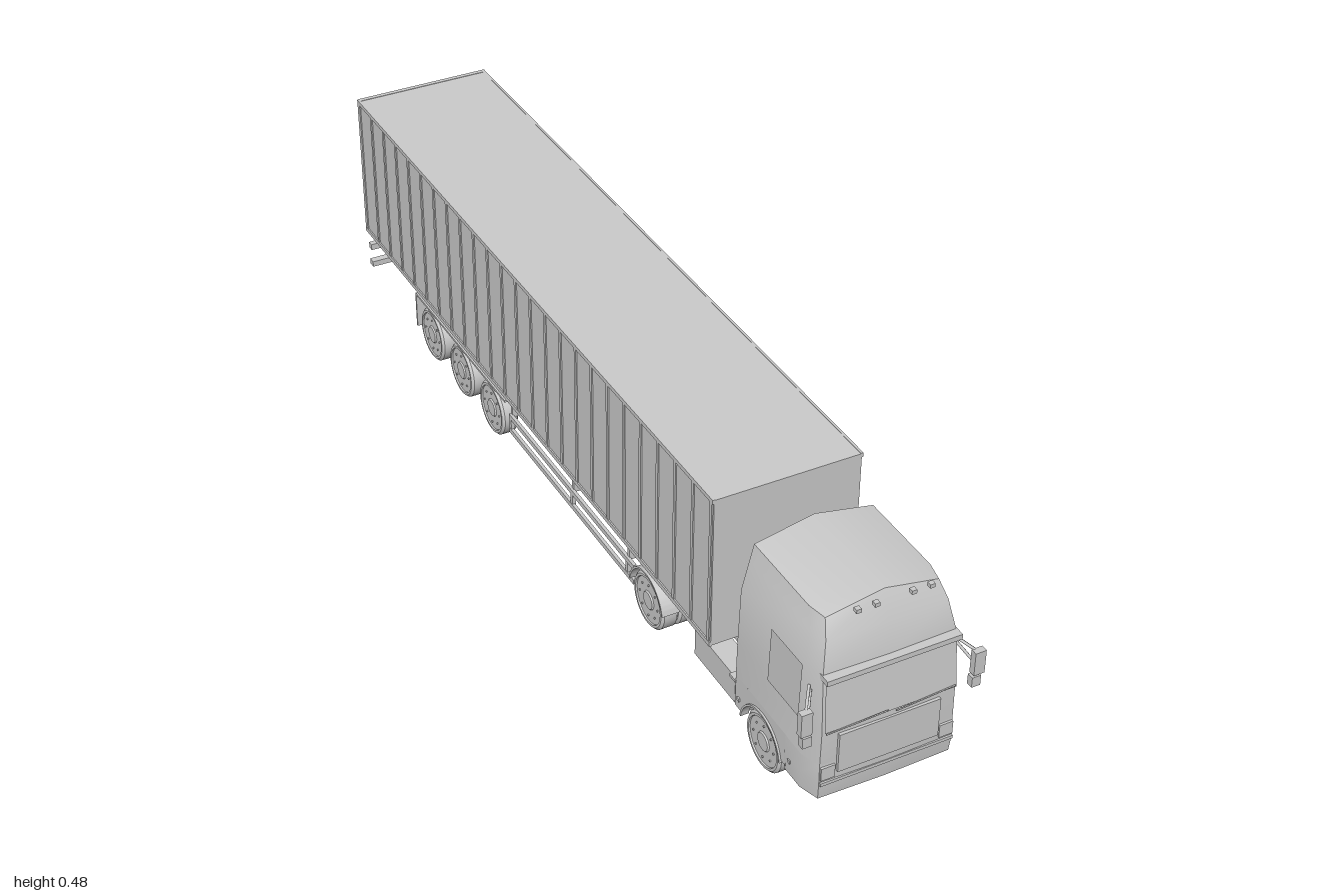
import * as THREE from 'three';
import { toCreasedNormals } from 'three/addons/utils/BufferGeometryUtils.js';

export function createModel() {
  const model = new THREE.Group();
  const grey = new THREE.MeshStandardMaterial({ color: 0xcccccc });
  grey.name = 'lightGrey';
  grey.side = THREE.DoubleSide;

  const add = (name, geo, parent = model) => {
    const m = new THREE.Mesh(geo, grey);
    m.name = name;
    parent.add(m);
    return m;
  };
  // Box given by its minimum and maximum on each axis
  const box = (name, x0, x1, y0, y1, z0, z1) => {
    const g = new THREE.BoxGeometry(Math.abs(x1 - x0), y1 - y0, z1 - z0);
    return add(name, g.translate((x0 + x1) / 2, (y0 + y1) / 2, (z0 + z1) / 2));
  };
  const pair = (name, x0, x1, ...r) => {
    box(name + 'Left', x0, x1, ...r);
    box(name + 'Right', -x1, -x0, ...r);
  };
  // Side outline drawn in (z, y), extruded from x0 to x1
  const sideExtrude = (name, shape, x0, x1) => {
    const g = new THREE.ExtrudeGeometry(shape, { depth: x1 - x0, bevelEnabled: false, curveSegments: 20 });
    add(name, toCreasedNormals(g.rotateY(-Math.PI / 2).translate(x1, 0, 0), 0.5));
  };
  const quad = (name, a, b, c, d) => {
    const g = new THREE.BufferGeometry();
    g.setAttribute('position', new THREE.Float32BufferAttribute([a, b, c, d].flat(), 3));
    g.setIndex([0, 1, 2, 0, 2, 3]);
    g.computeVertexNormals();
    add(name, g);
  };
  const rod = (name, a, b, r) => {
    const curve = new THREE.LineCurve3(new THREE.Vector3(...a), new THREE.Vector3(...b));
    add(name, new THREE.TubeGeometry(curve, 1, r, 6));
  };

  // Cab shell lofted from level rings: [y, half width, front half width, front z, ridge height]
  const loft = (name, rings, back) => {
    const pos = [], idx = [];
    for (const [y, w, wf, zf, ridge = 0] of rings) {
      pos.push(0, y + ridge, zf + 0.003, wf, y, zf, w, y, zf - 0.04, w, y, back,
        0, y + ridge, back, -w, y, back, -w, y, zf - 0.04, -wf, y, zf);
    }
    for (let j = 0; j < rings.length - 1; j++) {
      for (let i = 0; i < 8; i++) {
        const a = j * 8 + i, b = j * 8 + (i + 1) % 8;
        idx.push(a, b, b + 8, a, b + 8, a + 8);
      }
    }
    const t = (rings.length - 1) * 8;
    for (let i = 1; i < 7; i++) idx.push(t, t + i, t + i + 1, 0, i + 1, i);
    const g = new THREE.BufferGeometry();
    g.setAttribute('position', new THREE.Float32BufferAttribute(pos, 3));
    g.setIndex(idx);
    add(name, toCreasedNormals(g, 0.9));
  };
  loft('cabShell', [
    [0.145, 0.148, 0.135, 0.98], [0.22, 0.147, 0.134, 0.98], [0.34, 0.143, 0.132, 0.97],
    [0.4, 0.128, 0.121, 0.955], [0.433, 0.12, 0.112, 0.935, 0.024],
  ], 0.71);
  loft('frontBumper', [[0.066, 0.147, 0.134, 0.978], [0.105, 0.149, 0.136, 0.982], [0.145, 0.148, 0.135, 0.98]], 0.885);

  // Lower cab: inner core and side panels cut for the wheels
  box('cabFloor', -0.105, 0.105, 0.07, 0.146, 0.71, 0.89);
  const panel = new THREE.Shape();
  panel.moveTo(0.71, 0.075).lineTo(0.737, 0.075);
  panel.absarc(0.805, 0.06, 0.0696, Math.PI - 0.22, 0.22, true);
  panel.lineTo(0.89, 0.075).lineTo(0.89, 0.146).lineTo(0.71, 0.146).closePath();
  sideExtrude('cabSideLeft', panel, 0.1, 0.148);
  sideExtrude('cabSideRight', panel, -0.148, -0.1);

  // Wheel arch shells
  const arch = (r0, r1, z, a) => {
    const s = new THREE.Shape();
    s.absarc(z, 0.06, r1, a, Math.PI - a, false);
    s.absarc(z, 0.06, r0, Math.PI - a, a, true);
    return s.closePath();
  };
  for (const [n, z, x0, x1, r] of [['frontArch', 0.805, 0.135, 0.152, 0.068], ['driveFender', 0.365, 0.072, 0.15, 0.065]]) {
    sideExtrude(n + 'Left', arch(r, r + 0.004, z, 0.15), x0, x1);
    sideExtrude(n + 'Right', arch(r, r + 0.004, z, 0.15), -x1, -x0);
  }

  // Cab face details
  quad('windscreen', [-0.132, 0.222, 0.986], [0.132, 0.222, 0.986], [0.13, 0.328, 0.977], [-0.13, 0.328, 0.977]);
  box('sunVisor', -0.134, 0.134, 0.33, 0.341, 0.955, 0.988);
  box('grille', -0.102, 0.102, 0.122, 0.207, 0.978, 0.987);
  box('bumperStrip', -0.135, 0.135, 0.1, 0.107, 0.978, 0.986);
  pair('headlight', 0.106, 0.134, 0.112, 0.14, 0.975, 0.985);
  rod('wiperLeft', [0.008, 0.22, 0.989], [0.13, 0.227, 0.987], 0.0015);
  rod('wiperRight', [-0.13, 0.22, 0.987], [-0.008, 0.227, 0.989], 0.0015);
  for (const x of [-0.072, -0.036, 0.036, 0.072]) box('roofLight', x - 0.005, x + 0.005, 0.457, 0.465, 0.965, 0.975);
  for (const s of [1, -1]) {
    const side = s > 0 ? 'Left' : 'Right';
    quad('sideWindow' + side, [s * 0.1488, 0.22, 0.925], [s * 0.1488, 0.22, 0.82], [s * 0.145, 0.335, 0.82], [s * 0.145, 0.335, 0.925]);
    // Mirrors on their arms
    rod('mirrorArmUpper' + side, [s * 0.143, 0.305, 0.945], [s * 0.172, 0.285, 0.985], 0.003);
    rod('mirrorArmMiddle' + side, [s * 0.143, 0.3, 0.95], [s * 0.167, 0.262, 0.983], 0.003);
    rod('mirrorPost' + side, [s * 0.17, 0.22, 0.983], [s * 0.17, 0.28, 0.983], 0.003);
    const m = add('mirrorLarge' + side, new THREE.BoxGeometry(0.022, 0.05, 0.014));
    m.position.set(s * 0.173, 0.264, 0.986);
    const n = add('mirrorSmall' + side, new THREE.BoxGeometry(0.018, 0.022, 0.014));
    n.position.set(s * 0.17, 0.222, 0.984);
  }
  for (const z of [0.72, 0.9]) pair('sideMarker', 0.147, 0.151, 0.095, 0.102, z, z + 0.008);

  // Tractor frame, tank boxes and coupling
  pair('tractorRail', 0.05, 0.066, 0.085, 0.127, 0.27, 0.93);
  pair('tankBox', 0.09, 0.138, 0.06, 0.12, 0.54, 0.692);
  box('airUnit', -0.072, 0.072, 0.09, 0.132, 0.63, 0.69);
  pair('rearStep', 0.07, 0.15, 0.128, 0.134, 0.69, 0.712);
  box('couplingPlate', -0.08, 0.08, 0.127, 0.147, 0.3, 0.46);
  box('tractorCrossbar', -0.066, 0.066, 0.09, 0.12, 0.27, 0.285);

  // Trailer body with ribs and rear doors
  box('trailerBody', -0.15, 0.15, 0.145, 0.476, -0.996, 0.62);
  pair('lowerRail', 0.148, 0.153, 0.143, 0.153, -0.998, 0.62);
  pair('upperRail', 0.148, 0.153, 0.468, 0.477, -0.998, 0.62);
  for (let i = 0; i < 25; i++) {
    const z = 0.612 - i * 0.0668;
    pair('sideRib', 0.149, 0.1525, 0.15, 0.47, z - 0.004, z + 0.004);
  }
  box('doorSill', -0.152, 0.152, 0.143, 0.153, -1, -0.99);
  box('doorHeader', -0.152, 0.152, 0.466, 0.477, -1, -0.99);
  pair('doorFrame', 0.144, 0.152, 0.145, 0.476, -1, -0.99);
  for (const x of [0.036, 0.108]) pair('doorBar', x - 0.003, x + 0.003, 0.15, 0.47, -1, -0.99);
  box('doorSeam', -0.002, 0.002, 0.15, 0.47, -0.999, -0.99);

  // Trailer chassis, side guards, mud flaps and rear bumper
  box('trailerChassis', -0.1, 0.1, 0.12, 0.146, -0.96, 0.27);
  pair('wheelCover', 0.1, 0.147, 0.121, 0.126, -0.73, -0.27);
  pair('mudFlap', 0.105, 0.147, 0.04, 0.124, -0.734, -0.729);
  pair('guardRailUpper', 0.14, 0.147, 0.095, 0.106, -0.25, 0.31);
  pair('guardRailLower', 0.14, 0.147, 0.06, 0.071, -0.25, 0.31);
  for (const z of [-0.246, 0.04, 0.28]) {
    pair('guardPost', 0.138, 0.146, 0.06, 0.106, z - 0.004, z + 0.004);
    pair('guardBracket', 0.09, 0.142, 0.1, 0.124, z - 0.004, z + 0.004);
  }
  box('rearBumper', -0.15, 0.15, 0.057, 0.07, -0.992, -0.975);
  pair('bumperPost', 0.055, 0.07, 0.06, 0.146, -0.978, -0.955);
  pair('rearLightBar', 0.085, 0.15, 0.1, 0.114, -0.992, -0.978);
  box('rearCrossbar', -0.1, 0.1, 0.1, 0.112, -0.978, -0.965);

  // Wheels: turned profile with a recessed inner side, and ring of bolts
  const w = 0.037;
  const profile = [[0, 0.022], [0.032, 0.022], [0.035, 0], [0.053, 0], [0.06, 0.005], [0.06, w - 0.005],
    [0.055, w], [0.05, w], [0.049, w - 0.003], [0.02, w - 0.003], [0.018, w], [0, w]];
  const tyre = toCreasedNormals(new THREE.LatheGeometry(profile.map(p => new THREE.Vector2(...p)), 28), 0.5);
  const bolt = new THREE.CylinderGeometry(0.002, 0.002, 0.003, 6);
  const wheel = (name, s, x, z) => {
    const g = new THREE.Group();
    g.name = name;
    add('tyreAndRim', tyre, g);
    for (let i = 0; i < 8; i++) {
      const a = i * Math.PI / 4;
      add('wheelBolt', bolt, g).position.set(0.036 * Math.cos(a), w - 0.002, 0.036 * Math.sin(a));
    }
    g.rotation.z = -s * Math.PI / 2;
    g.position.set(s * x, 0.06, z);
    model.add(g);
  };
  for (const [name, z] of [['front', 0.805], ['drive', 0.365], ['trailerFirst', -0.345], ['trailerSecond', -0.5], ['trailerThird', -0.655]]) {
    for (const s of [1, -1]) {
      const side = s > 0 ? 'Left' : 'Right';
      wheel(name + 'Wheel' + side, s, 0.108, z);
      if (name === 'drive') wheel('driveInnerWheel' + side, s, 0.0705, z);
    }
    const axle = new THREE.CylinderGeometry(0.012, 0.012, 0.26, 12).rotateZ(Math.PI / 2);
    add(name + 'Axle', axle).position.set(0, 0.06, z);
    pair(name + 'Hanger', 0.05, 0.064, 0.05, 0.122, z - 0.015, z + 0.015);
  }
  return model;
}
